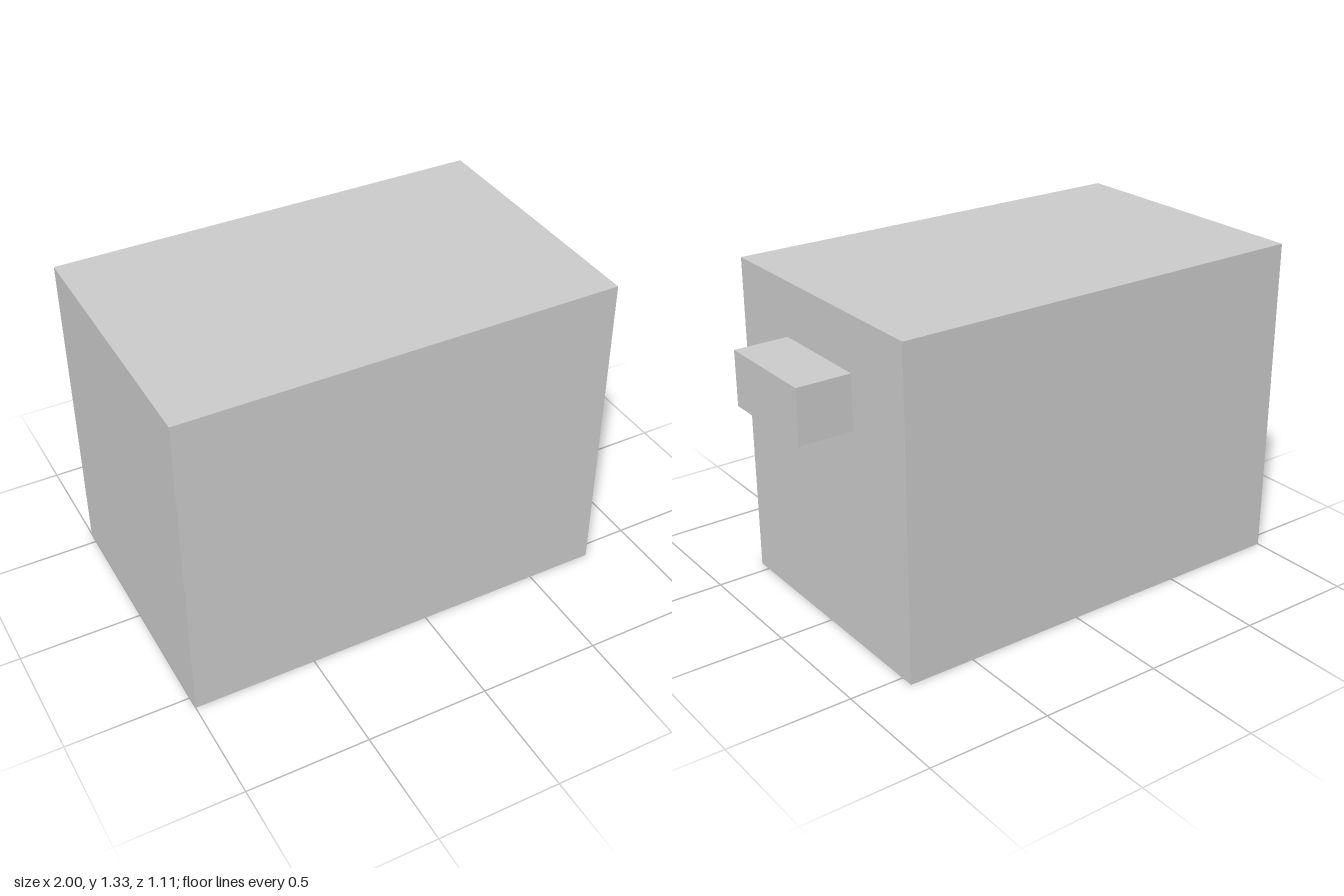
import * as THREE from 'three';

const U = 1 / 9; // all dimensions are whole multiples of this unit

// Adds a named box, sized and centred in units of U
function addBox(group, name, size, centre) {
  const mesh = new THREE.Mesh(
    new THREE.BoxGeometry(...size.map((s) => s * U)),
    new THREE.MeshStandardMaterial({ color: 0xcccccc, flatShading: true })
  );
  mesh.name = name;
  mesh.position.set(...centre).multiplyScalar(U);
  group.add(mesh);
}

export function createModel() {
  const group = new THREE.Group();
  group.name = 'drawer';

  // Main block, standing on the ground
  addBox(group, 'body', [16, 12, 10], [-1, 6, 0]);

  // Handle block on the left (+x) end
  addBox(group, 'handle', [2, 2, 4], [8, 9, 0]);

  return group;
}
